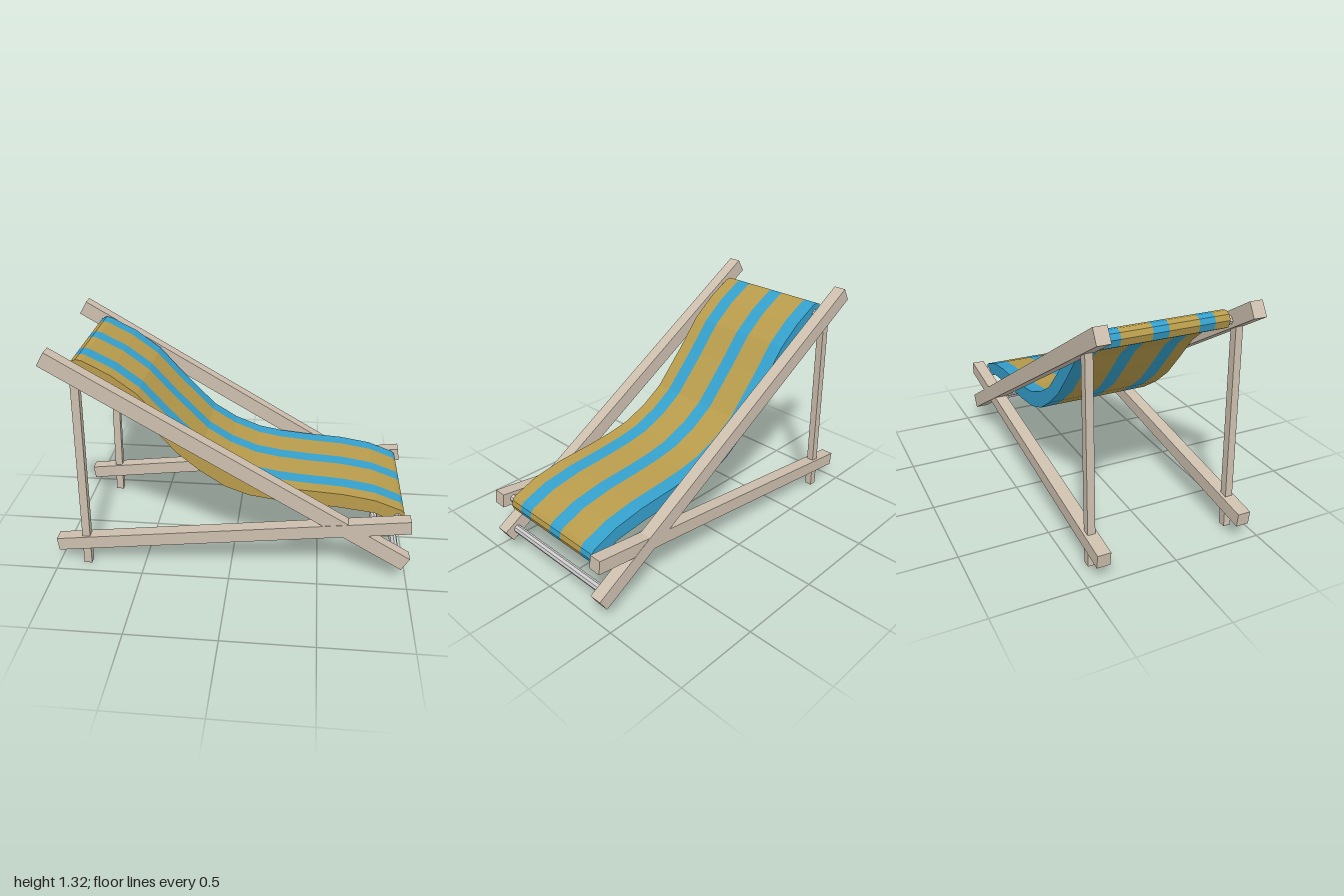
import * as THREE from 'three';

const mat = (color) => new THREE.MeshStandardMaterial({ color, flatShading: true });

// Square timber between two points, with its depth along z
function beam(name, a, b, width, depth, material) {
  const from = new THREE.Vector3(...a), to = new THREE.Vector3(...b);
  const dir = to.clone().sub(from);
  const mesh = new THREE.Mesh(new THREE.BoxGeometry(dir.length(), width, depth), material);
  mesh.position.copy(from).add(to).multiplyScalar(0.5);
  mesh.quaternion.setFromUnitVectors(new THREE.Vector3(1, 0, 0), dir.normalize());
  mesh.name = name;
  return mesh;
}

export function createModel() {
  const model = new THREE.Group();
  model.name = 'deckChair';
  const wood = mat(0xcdbfae), metal = mat(0xcccccc);
  const tan = mat(0xb89c4c), blue = mat(0x35a0cc);

  // Two side frames: sloping back rail, base rail and prop leg
  for (const s of [1, -1]) {
    const side = new THREE.Group();
    side.name = s > 0 ? 'leftFrame' : 'rightFrame';
    const z0 = s > 0 ? 0.403 : -0.411, z1 = s > 0 ? 0.409 : -0.403;
    side.add(
      beam('backRail', [-0.965, 1.28, z0], [0.985, 0.127, z1], 0.086, 0.072, wood),
      beam('baseRail', [-0.996, 0.128, z0 + 0.002], [0.995, 0.375, z1 + 0.002], 0.078, 0.073, wood),
      beam('propLeg', [-0.834, 0, s * 0.408], [-0.802, 1.18, s * 0.408], 0.045, 0.042, wood)
    );
    model.add(side);
  }

  // Cross bars joining the frames
  const bars = [['topBar', -0.8, 1.18], ['seatBar', 0.93, 0.366],
    ['footBar', 0.93, 0.155], ['braceBar', 0.82, 0.225]];
  for (const [name, x, y] of bars) {
    const bar = new THREE.Mesh(new THREE.CylinderGeometry(0.023, 0.023, 0.78, 8), metal);
    bar.rotation.x = Math.PI / 2;
    bar.position.set(x, y, 0);
    bar.name = name;
    model.add(bar);
  }

  // Sling profile: over the top, round the seat bar, back underneath
  const profile = [
    [-0.855, 1.2], [-0.842, 1.228], [-0.815, 1.24], [-0.785, 1.235],
    [-0.64, 1.16], [-0.5, 1.055], [-0.365, 0.9], [-0.17, 0.695],
    [-0.035, 0.61], [0.115, 0.55], [0.25, 0.525], [0.4, 0.51],
    [0.62, 0.495], [0.8, 0.465], [0.945, 0.41], [0.965, 0.39],
    [0.972, 0.36], [0.962, 0.332], [0.94, 0.32], [0.8, 0.385],
    [0.6, 0.41], [0.27, 0.435], [0.1, 0.46], [-0.035, 0.51],
    [-0.17, 0.6], [-0.3, 0.71], [-0.42, 0.85], [-0.53, 0.985],
    [-0.65, 1.085], [-0.8, 1.14], [-0.842, 1.16]
  ].map(([x, y]) => new THREE.Vector2(x, y));
  const shape = new THREE.Shape(profile);

  // Stripes of alternating colour across the width
  const edges = [-0.345, -0.26, -0.093, -0.007, 0.16, 0.247, 0.33];
  const sling = new THREE.Group();
  sling.name = 'fabricSling';
  for (let i = 0; i < edges.length - 1; i++) {
    const geometry = new THREE.ExtrudeGeometry(shape, { depth: edges[i + 1] - edges[i], bevelEnabled: false });
    const stripe = new THREE.Mesh(geometry, i % 2 ? tan : blue);
    stripe.position.z = edges[i];
    stripe.name = 'fabricStripe' + (i + 1);
    sling.add(stripe);
  }
  model.add(sling);
  return model;
}
